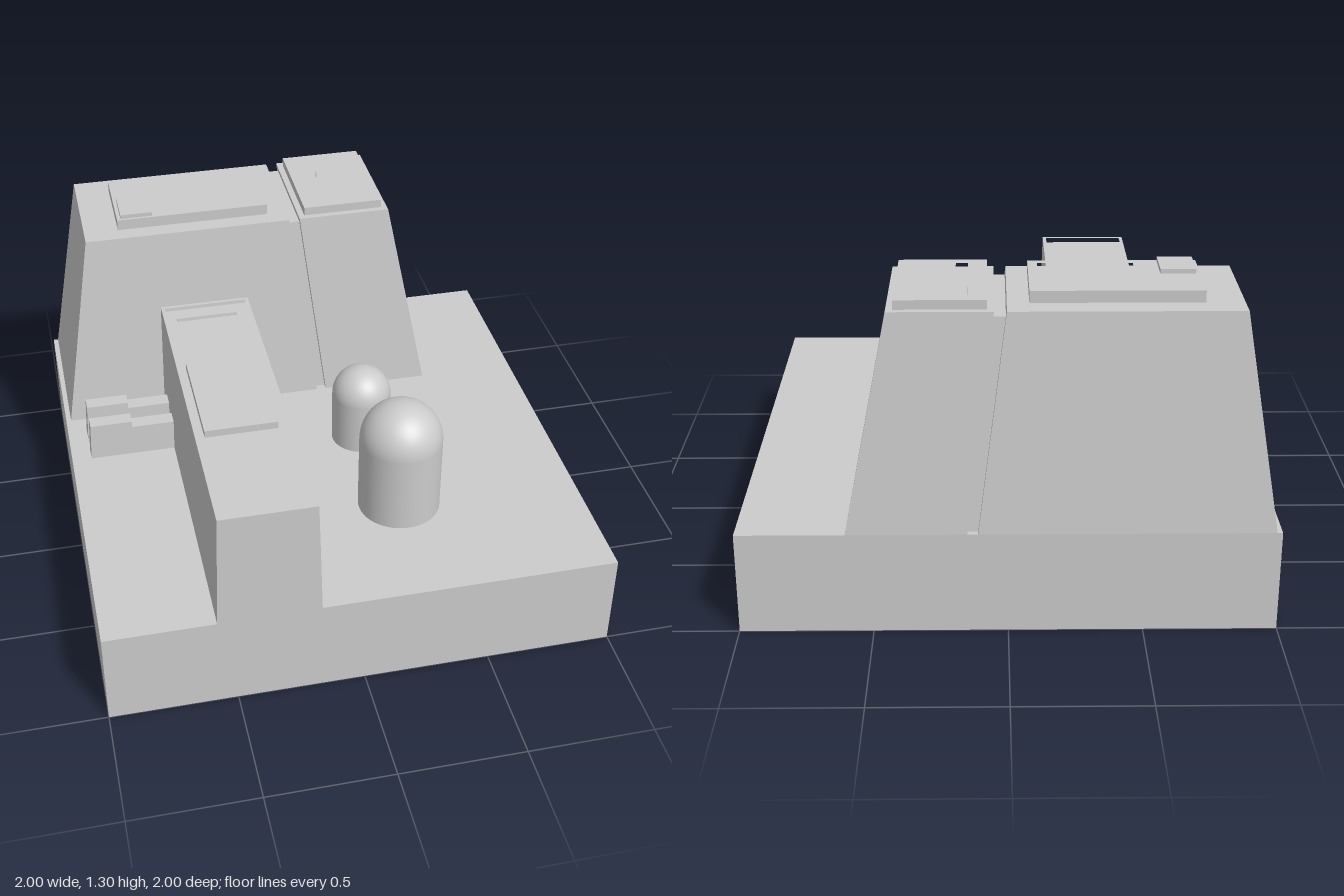
import * as THREE from 'three';

const grey = new THREE.MeshStandardMaterial({ color: 0xcccccc });

// Rectangle outlines are [x0, x1, z0, z1]; shapes are drawn in x, -z
function outline(points, Type = THREE.Path) {
  return new Type(points.map(([x, z]) => new THREE.Vector2(x, -z)));
}
const corners = ([x0, x1, z0, z1]) => [[x0, z0], [x1, z0], [x1, z1], [x0, z1]];

// Upright plate with optional openings
function plate(rect, y0, y1, holes = []) {
  const shape = outline(corners(rect), THREE.Shape);
  shape.holes = holes.map((h) => outline(h));
  const g = new THREE.ExtrudeGeometry(shape, { depth: y1 - y0, bevelEnabled: false });
  return g.rotateX(-Math.PI / 2).translate(0, y0, 0);
}

// Tapered block between a bottom and a top rectangle
function prism(bottom, y0, top, y1) {
  const g = new THREE.BoxGeometry(1, 1, 1).toNonIndexed();
  const p = g.attributes.position;
  for (let i = 0; i < p.count; i++) {
    const up = p.getY(i) > 0;
    const r = up ? top : bottom;
    p.setXYZ(i, r[p.getX(i) > 0 ? 1 : 0], up ? y1 : y0, r[p.getZ(i) > 0 ? 3 : 2]);
  }
  g.computeVertexNormals();
  return g;
}

export function createModel() {
  const model = new THREE.Group();
  const add = (name, geometry, parent = model) => {
    const mesh = new THREE.Mesh(geometry, grey);
    mesh.name = name;
    parent.add(mesh);
    return mesh;
  };
  const group = (name) => {
    const g = new THREE.Group();
    g.name = name;
    model.add(g);
    return g;
  };

  add('base', plate([-1, 1, -1, 1], 0, 0.4));

  // Tower: two tapered halves around a recessed core that forms the slanted groove
  const tower = group('tower');
  add('towerRightHalf', prism([-0.98, 0.11, -1, -0.36], 0.4, [-0.84, 0.005, -0.93, -0.43], 1.235), tower);
  add('towerLeftHalf', prism([0.15, 0.595, -1, -0.36], 0.4, [0.05, 0.43, -0.93, -0.43], 1.235), tower);
  add('towerGrooveCore', prism([0.08, 0.18, -0.975, -0.385], 0.4, [-0.02, 0.075, -0.907, -0.453], 1.21), tower);

  // Roof panels with recesses
  add('wideRoofPanel', plate([-0.7, -0.075, -0.84, -0.5], 1.235, 1.28, [
    corners([-0.465, -0.415, -0.81, -0.53]),
    corners([-0.335, -0.11, -0.81, -0.53]),
  ]), tower);
  add('roofButton', plate([-0.685, -0.555, -0.655, -0.51], 1.28, 1.297), tower);
  const keySlot = [
    [0.13, -0.86], [0.2, -0.86], [0.2, -0.775], [0.19, -0.765],
    [0.19, -0.495], [0.145, -0.495], [0.145, -0.765], [0.13, -0.775],
  ];
  add('narrowRoofPanel', plate([0.075, 0.405, -0.905, -0.455], 1.235, 1.27, [keySlot]), tower);

  // Long block with a sunken top; layered so its openings have real depth
  const block = group('longBlock');
  const cx = -0.37;
  const rect = [cx - 0.2, cx + 0.2, -0.4, 1];
  const taperSides = (g) => {
    const flat = g.index ? g.toNonIndexed() : g;
    const p = flat.attributes.position;
    for (let i = 0; i < p.count; i++) {
      const dx = p.getX(i) - cx;
      if (Math.abs(dx) > 0.19) p.setX(i, cx + Math.sign(dx) * (0.2 - 0.03 * (p.getY(i) - 0.4)));
    }
    flat.computeVertexNormals();
    return flat;
  };
  add('blockBody', taperSides(plate(rect, 0.4, 0.82)), block);
  add('blockFloor', taperSides(plate(rect, 0.82, 0.875, [corners([-0.5, -0.245, -0.335, -0.03])])), block);
  add('blockRim', taperSides(plate(rect, 0.875, 0.9, [corners([-0.54, -0.2, -0.385, 0.985])])), block);
  add('blockSlab', plate([-0.515, -0.23, 0.035, 0.49], 0.875, 0.905), block);

  // Pair of stepped side brackets
  for (const z of [-0.25, -0.115]) {
    const bracket = group('sideBracket');
    add('bracketOuter', prism([-0.92, -0.74, z - 0.036, z + 0.036], 0.4,
      [-0.912, -0.74, z - 0.03, z + 0.03], 0.56), bracket);
    add('bracketInner', prism([-0.74, -0.55, z - 0.036, z + 0.036], 0.4,
      [-0.74, -0.55, z - 0.031, z + 0.031], 0.533), bracket);
  }

  // Domed posts
  for (const [name, x, z, r, top] of [['largeDome', 0.265, 0.465, 0.165, 0.89], ['smallDome', 0.22, 0, 0.122, 0.745]]) {
    const profile = [new THREE.Vector2(r, 0.4)];
    for (let i = 0; i <= 16; i++) {
      const a = (i / 16) * Math.PI / 2;
      profile.push(new THREE.Vector2(i === 16 ? 0 : r * Math.cos(a), top - r + r * Math.sin(a)));
    }
    add(name, new THREE.LatheGeometry(profile, 48)).position.set(x, 0, z);
  }

  return model;
}
